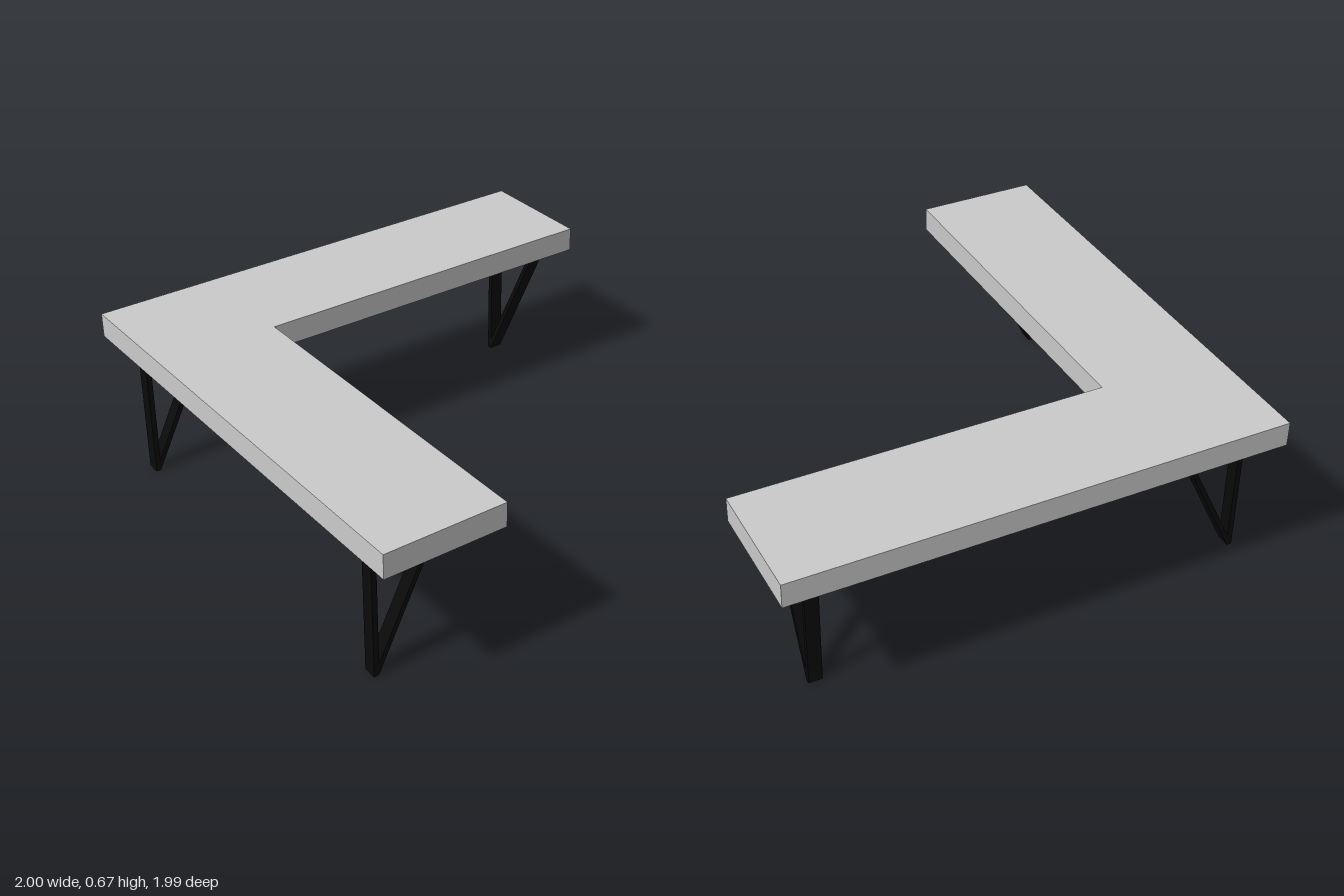
import * as THREE from 'three';

const polygon = (Type, pts) => new Type(pts.map(([x, y]) => new THREE.Vector2(x, y)));

export function createModel() {
  const group = new THREE.Group();
  const topMaterial = new THREE.MeshStandardMaterial({ color: 0xcccccc });
  const legMaterial = new THREE.MeshStandardMaterial({ color: 0x0a0a0a });
  const legHeight = 0.565, legDepth = 0.055;

  // L-shaped slab, drawn in plan with y = -z and laid flat
  const plan = polygon(THREE.Shape, [
    [-1, -0.995], [-0.5, -0.995], [-0.5, 0.5], [1, 0.5], [1, 0.995], [-1, 0.995],
  ]);
  const slab = new THREE.ExtrudeGeometry(plan, { depth: 0.1, bevelEnabled: false });
  slab.rotateX(-Math.PI / 2);
  const top = new THREE.Mesh(slab, topMaterial);
  top.name = 'benchTop';
  top.position.y = legHeight;
  group.add(top);

  // Triangular leg frame: upright at x = 0, top bar and diagonal brace towards +x
  const frame = polygon(THREE.Shape, [
    [0, 0], [0.02, 0], [0.283, 0.535], [0.283, legHeight], [0, legHeight],
  ]);
  frame.holes.push(polygon(THREE.Path, [[0.022, 0.05], [0.022, 0.53], [0.258, 0.53]]));
  const legGeometry = new THREE.ExtrudeGeometry(frame, { depth: legDepth, bevelEnabled: false });
  legGeometry.translate(0, 0, -legDepth / 2);

  // Two legs lie across the side arm, one is turned across the back arm
  const legs = [
    ['frontLeg', -0.93, 0.785, 0],
    ['cornerLeg', -0.93, -0.815, 0],
    ['backArmLeg', 0.828, -0.82, -Math.PI / 2],
  ];
  for (const [name, x, z, turn] of legs) {
    const leg = new THREE.Mesh(legGeometry, legMaterial);
    leg.name = name;
    leg.position.set(x, 0, z);
    leg.rotation.y = turn;
    group.add(leg);
  }
  return group;
}
